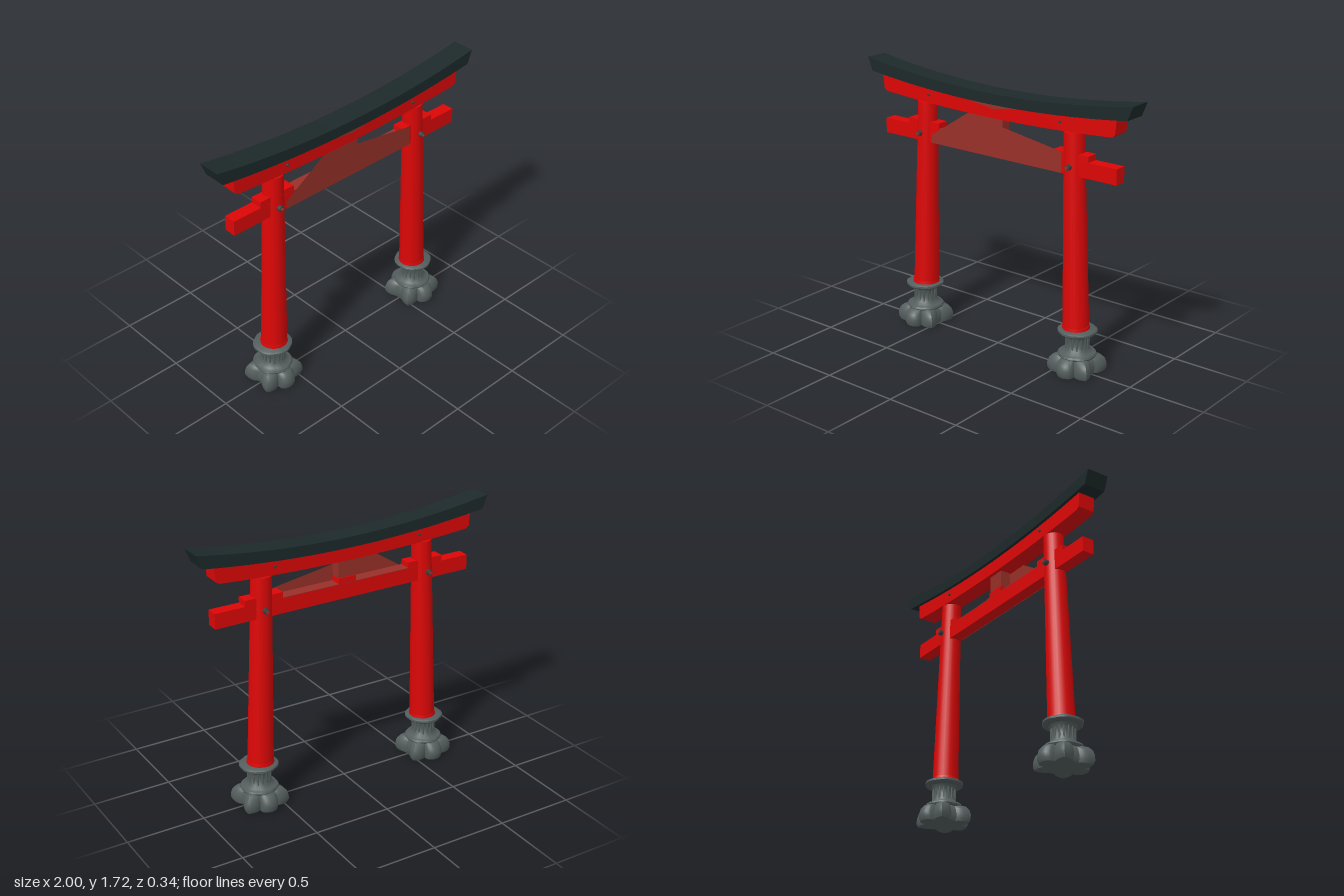
import * as THREE from 'three';
import { toCreasedNormals } from 'three/addons/utils/BufferGeometryUtils.js';

const mat = (name, color, side = THREE.FrontSide) => {
  const m = new THREE.MeshStandardMaterial({ color, side });
  m.name = name;
  return m;
};

export function createModel() {
  const red = mat('vermilion paint', 0xdd0606);
  const black = mat('roof black', 0x1d292a);
  const stone = mat('grey stone', 0x545d5d);
  const iron = mat('dark iron', 0x3a4040);
  const brown = mat('weathered wood', 0x983028, THREE.DoubleSide);

  const root = new THREE.Group();
  root.name = 'gate';

  const add = (parent, name, geometry, material, x = 0, y = 0, z = 0) => {
    const m = new THREE.Mesh(geometry, material);
    m.name = name;
    m.position.set(x, y, z);
    parent.add(m);
    return m;
  };
  const box = (parent, name, x0, x1, y0, y1, depth, material, z = 0) =>
    add(parent, name, new THREE.BoxGeometry(x1 - x0, y1 - y0, depth), material,
      (x0 + x1) / 2, (y0 + y1) / 2, z);
  const plate = (name, points, z) => add(root, name, new THREE.ShapeGeometry(
    new THREE.Shape(points.map(([x, y]) => new THREE.Vector2(x, y)))), brown, 0, 0, z);

  // Beam whose top and bottom edges sweep upward towards both ends
  const curvedBeam = (topHalf, bottomHalf, topY, bottomY, depth, corner = []) => {
    const n = 20;
    const pts = [];
    for (let i = 0; i <= n; i++) {
      const x = bottomHalf * (2 * i / n - 1);
      pts.push(new THREE.Vector2(x, bottomY(x)));
    }
    corner.forEach(([x, y]) => pts.push(new THREE.Vector2(x, y)));
    for (let i = 0; i <= n; i++) {
      const x = topHalf * (1 - 2 * i / n);
      pts.push(new THREE.Vector2(x, topY(x)));
    }
    [...corner].reverse().forEach(([x, y]) => pts.push(new THREE.Vector2(-x, y)));
    const g = new THREE.ExtrudeGeometry(new THREE.Shape(pts), { depth, bevelEnabled: false });
    g.translate(0, 0, -depth / 2);
    return toCreasedNormals(g, 0.4);
  };

  // Turned stone whose radius is scaled by a rule of the angle from the z axis
  const carved = (profile, scaleAt) => {
    const g = new THREE.LatheGeometry(profile.map(([r, y]) => new THREE.Vector2(r, y)), 80);
    const p = g.attributes.position;
    for (let i = 0; i < p.count; i++) {
      const a = Math.atan2(Math.abs(p.getX(i)), Math.abs(p.getZ(i)));
      const k = scaleAt(a);
      p.setX(i, p.getX(i) * k);
      p.setZ(i, p.getZ(i) * k);
    }
    return toCreasedNormals(g, 0.75);
  };
  // Round petals at front and back, pointed petals on the four diagonals
  const petalScale = a => {
    const round = a < 0.46;
    const d = Math.min(1, round ? a / 0.46 : Math.abs(a - 0.93) / 0.47);
    return round ? 0.7 + 0.3 * Math.sqrt(1 - d * d) : 0.7 + 0.38 * Math.pow(1 - d, 0.8);
  };
  const rimScale = a => 0.96 + 0.04 * Math.abs(Math.cos(3 * a));

  // Roof beam and upper lintel
  const seat = x => 1.573 + 0.068 * x * x;
  add(root, 'roofBeam', curvedBeam(1, 0.965, x => 1.64 + 0.082 * x * x, seat, 0.146),
    black, 0, 0, -0.003);
  add(root, 'upperLintel', curvedBeam(0.885, 0.855, seat, x => 1.487 + 0.045 * x * x, 0.112,
    [[0.878, 1.535]]), red);

  // Lower tie beam with its bare upper face, and the centre strut in its socket
  box(root, 'tieBeam', -0.885, 0.885, 1.24, 1.336, 0.078, red);
  box(root, 'tieBeamTop', -0.44, 0.44, 1.335, 1.339, 0.078, brown);
  box(root, 'strutSocket', -0.06, 0.06, 1.33, 1.375, 0.072, red, -0.003);
  box(root, 'centreStrut', -0.058, 0.058, 1.37, 1.5, 0.066, brown);

  // Thin infill panel on the front of the tie beam, and a bare patch above
  plate('infillPanel', [[-0.5, 1.24], [0.5, 1.24], [0.5, 1.37], [0.06, 1.44],
    [0.06, 1.49], [-0.19, 1.49], [-0.5, 1.29]], 0.042);
  plate('lintelPatch', [[-0.2, 1.574], [0, 1.545], [0.2, 1.574]], 0.059);

  for (const side of [-1, 1]) {
    const half = new THREE.Group();
    half.name = side > 0 ? 'leftPost' : 'rightPost';
    root.add(half);

    // Tapered post leaning inward
    const bottom = new THREE.Vector3(side * 0.6, 0.27, 0);
    const top = new THREE.Vector3(side * 0.56, 1.495, 0);
    const axis = top.clone().sub(bottom);
    const post = add(half, 'post', new THREE.CylinderGeometry(0.062, 0.081, axis.length(), 24), red);
    post.position.copy(bottom).add(top).multiplyScalar(0.5);
    post.quaternion.setFromUnitVectors(new THREE.Vector3(0, 1, 0), axis.normalize());
    add(half, 'postCollar', new THREE.CylinderGeometry(0.083, 0.086, 0.025, 24), red,
      side * 0.601, 0.284, 0);

    // Wedges on both sides of the post
    const a = side * 0.44, b = side * 0.69;
    box(half, 'wedges', Math.min(a, b), Math.max(a, b), 1.33, 1.373, 0.076, red);

    // Pins through the post and lintel
    const pin = (name, radius, length, material, x, y) => {
      const m = add(half, name, new THREE.CylinderGeometry(radius, radius, length, 8), material,
        side * x, y, 0);
      m.rotation.x = Math.PI / 2;
    };
    pin('postPin', 0.018, 0.176, iron, 0.573, 1.295);
    pin('postPinCore', 0.011, 0.192, brown, 0.573, 1.295);
    pin('lintelPeg', 0.008, 0.132, iron, 0.5, 1.55);

    // Stone footing: petals, fluted waist and moulded rims
    const foot = new THREE.Group();
    foot.name = 'footing';
    foot.position.x = side * 0.613;
    half.add(foot);
    add(foot, 'petals', carved([[0, 0], [0.158, 0], [0.168, 0.02], [0.168, 0.05],
      [0.158, 0.08], [0.138, 0.102], [0.1, 0.113], [0, 0.115]], petalScale), stone);
    add(foot, 'waist', carved([[0, 0.1], [0.114, 0.1], [0.12, 0.112], [0.114, 0.124],
      [0.092, 0.13], [0.076, 0.15], [0.067, 0.185], [0.069, 0.22], [0.085, 0.245],
      [0.112, 0.25], [0.121, 0.258], [0.121, 0.27], [0.11, 0.277], [0, 0.28]], rimScale), stone);
    for (let i = 0; i < 16; i++) {
      const t = (i + 0.5) / 16 * Math.PI * 2;
      add(foot, 'flute', new THREE.CylinderGeometry(0.006, 0.006, 0.09, 6), stone,
        Math.sin(t) * 0.069, 0.19, Math.cos(t) * 0.069);
    }
  }
  return root;
}
